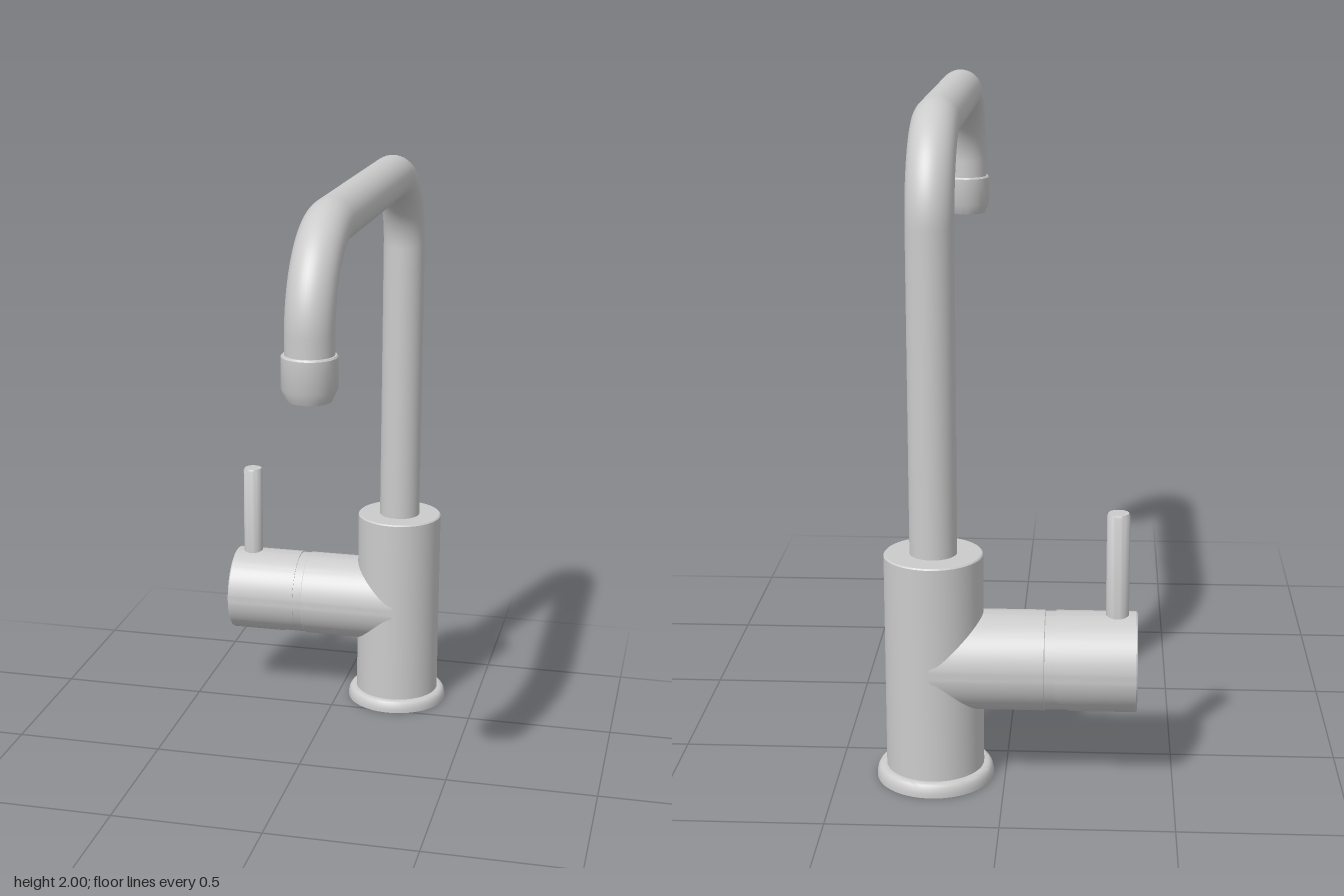
import * as THREE from 'three';
import { toCreasedNormals } from 'three/addons/utils/BufferGeometryUtils.js';

const AXIS_X = 0.21, AXIS_Z = -0.655, ARM_Y = 0.37;
const BODY_R = 0.146, ARM_R = 0.148;

export function createModel() {
  const group = new THREE.Group();
  const material = new THREE.MeshStandardMaterial({ color: 0xcccccc, side: THREE.DoubleSide });

  const add = (name, geometry, x = 0, y = 0, z = 0) => {
    const mesh = new THREE.Mesh(geometry, material);
    mesh.name = name;
    mesh.position.set(x, y, z);
    group.add(mesh);
  };
  const turn = (profile, segments = 64) =>
    new THREE.LatheGeometry(profile.map(([r, h]) => new THREE.Vector2(r, h)), segments);
  const crease = (geometry) => toCreasedNormals(geometry, 0.6);

  // Turned part lying along -x, with an optional rule that moves its vertices
  const turnSideways = (profile, rule) => {
    const geometry = turn(profile, 96).rotateZ(Math.PI / 2);
    const p = geometry.attributes.position;
    if (rule) for (let i = 0; i < p.count; i++) p.setX(i, rule(p.getX(i), p.getY(i), p.getZ(i)));
    return crease(geometry);
  };

  // Upright body, hollow from below
  add('body', crease(turn([
    [0, 0.67], [0.136, 0.67], [0.136, 0.01], [BODY_R, 0.01],
    [BODY_R, 0.696], [0.142, 0.7], [0, 0.7],
  ])), AXIS_X, 0, AXIS_Z);

  // Rounded foot ring
  add('baseFlange', crease(turn([
    [0.145, 0.012], [0.15, 0], [0.175, 0], [0.175, 0.012], [0.172, 0.026],
    [0.166, 0.036], [0.158, 0.04], [0.145, 0.04],
  ])), AXIS_X, 0, AXIS_Z);

  // Side arm, its inner end saddled onto the round body
  add('sideArm', turnSideways(
    [[ARM_R, 0], [ARM_R, 0.118], [0.146, 0.12], [0.138, 0.12]],
    (x, y, z) => x > -0.01
      ? AXIS_X + 0.004 - Math.sqrt(Math.max(0, BODY_R ** 2 - z * z)) : x,
  ), 0, ARM_Y, AXIS_Z);

  // Core showing in the seam between arm and cap
  add('cartridgeCore', turnSideways([[0.145, 0.115], [0.145, 0.22]]), 0, ARM_Y, AXIS_Z);

  // Turning cap with a slanted relief under its rim and a ring groove on its end
  add('handleCap', turnSideways(
    [[0.14, 0.15], [ARM_R, 0.15], [ARM_R, 0.386], [0.145, 0.39], [0.05, 0.39],
      [0.05, 0.382], [0.04, 0.382], [0.04, 0.39], [0, 0.39]],
    (x, y) => x > -0.2 ? x - Math.max(0, -0.07 - y) * 0.7 : x,
  ), 0, ARM_Y, AXIS_Z);

  // Lever pin
  add('lever', crease(turn([
    [0, 0.49], [0.034, 0.49], [0.034, 0.822], [0.03, 0.83], [0, 0.83],
  ], 32)), -0.33, 0, AXIS_Z);

  // Spout pipe: riser, bend, run forward, bend down
  const path = new THREE.Path();
  path.moveTo(AXIS_Z, 0.69);
  path.lineTo(AXIS_Z, 1.665);
  path.absarc(-0.39, 1.665, 0.265, Math.PI, Math.PI / 2, true);
  path.lineTo(0.49, 1.93);
  path.absarc(0.49, 1.665, 0.265, Math.PI / 2, 0, true);
  path.lineTo(0.755, 1.58);
  const curve = new THREE.Curve();
  curve.getPoint = (t, target = new THREE.Vector3()) => {
    const p = path.getPoint(t);
    return target.set(AXIS_X, p.y, p.x);
  };
  add('spoutPipe', new THREE.TubeGeometry(curve, 160, 0.07, 40));

  // Nozzle with a recessed outlet
  add('nozzle', crease(turn([
    [0, 1.505], [0.05, 1.505], [0.05, 1.48], [0.063, 1.48], [0.079, 1.515],
    [0.079, 1.605], [0.075, 1.61], [0.066, 1.61],
  ], 48)), AXIS_X, 0, 0.755);

  return group;
}
